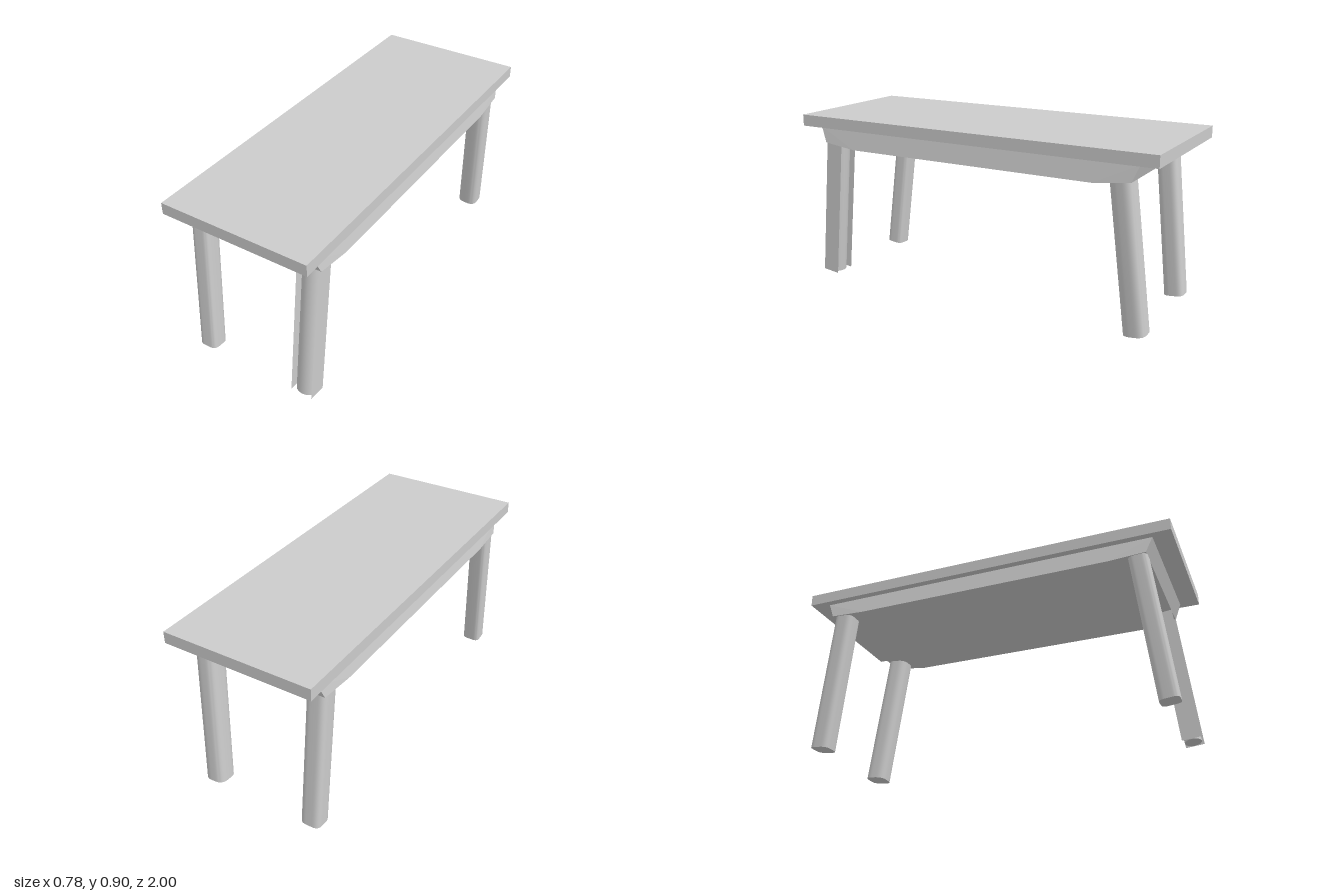
import * as THREE from 'three';
import { ConvexGeometry } from 'three/addons/geometries/ConvexGeometry.js';
import { toCreasedNormals } from 'three/addons/utils/BufferGeometryUtils.js';

const grey = new THREE.MeshStandardMaterial({ color: 0xcccccc });
const greyThin = new THREE.MeshStandardMaterial({ color: 0xcccccc, side: THREE.DoubleSide });

function add(parent, name, geometry, material = grey) {
  const mesh = new THREE.Mesh(geometry, material);
  mesh.name = name;
  parent.add(mesh);
  return mesh;
}

// Group whose local z runs up a splayed leg from its foot
function legFrame(parent, name, foot, head) {
  const leg = new THREE.Group();
  leg.name = name;
  leg.up.set(0, 0, 1);
  leg.position.set(...foot);
  leg.lookAt(...head);
  parent.add(leg);
  return { leg, length: new THREE.Vector3(...foot).distanceTo(new THREE.Vector3(...head)) };
}

// Rectangle with rounded corners, centred on the origin
function roundedRect(w, d, r) {
  const x = w / 2, y = d / 2, s = new THREE.Shape();
  s.moveTo(r - x, -y);
  s.lineTo(x - r, -y);
  s.quadraticCurveTo(x, -y, x, r - y);
  s.lineTo(x, y - r);
  s.quadraticCurveTo(x, y, x - r, y);
  s.lineTo(r - x, y);
  s.quadraticCurveTo(-x, y, -x, y - r);
  s.lineTo(-x, r - y);
  s.quadraticCurveTo(-x, -y, r - x, -y);
  return s;
}

function extrude(shape, depth) {
  const g = new THREE.ExtrudeGeometry(shape, { depth, bevelEnabled: false, curveSegments: 8 });
  return toCreasedNormals(g, 0.6);
}

export function createModel() {
  const table = new THREE.Group();
  table.name = 'table';

  // Flat slab top
  add(table, 'tableTop', new THREE.BoxGeometry(0.78, 0.06, 2)).position.y = 0.87;

  // Solid apron: flares outward in x, tapers at the ends, bottom bows down
  const points = [];
  for (const sx of [-1, 1]) {
    const low = sx > 0 ? 0.735 : 0.745;
    for (const sz of [-1, 1]) {
      points.push(
        new THREE.Vector3(sx * 0.355, 0.84, sz * 0.903),
        new THREE.Vector3(sx * 0.367, 0.757, sz * 0.868),
        new THREE.Vector3(sx * 0.372, low, sz * 0.68),
      );
    }
  }
  add(table, 'apron', new ConvexGeometry(points));

  // Three rounded square legs: name, foot, head, width, depth, corner radius
  const legs = [
    ['frontRightLeg', [-0.288, 0.01, 0.907], [-0.315, 0.775, 0.82], 0.1, 0.096, 0.03],
    ['backRightLeg', [-0.303, 0.01, -0.89], [-0.31, 0.775, -0.806], 0.105, 0.105, 0.035],
    ['backLeftLeg', [0.266, 0.01, -0.888], [0.306, 0.775, -0.806], 0.112, 0.115, 0.045],
  ];
  for (const [name, foot, head, w, d, r] of legs) {
    const { leg, length } = legFrame(table, name, foot, head);
    add(leg, name + 'Post', extrude(roundedRect(w, d, r), length));
  }

  // Fourth leg: an oval post between two thin side plates
  const { leg, length } = legFrame(table, 'frontLeftLeg', [0.2875, 0.01, 0.907], [0.298, 0.775, 0.82]);
  const oval = new THREE.Shape().absellipse(0, 0, 0.052, 0.043, 0, Math.PI * 2);
  add(leg, 'frontLeftLegPost', extrude(oval, length));
  for (const side of [-1, 1]) {
    const plate = add(leg, 'frontLeftLegPlate', new THREE.PlaneGeometry(length, 0.096), greyThin);
    plate.rotation.y = side * Math.PI / 2;
    plate.position.set(side * 0.057, 0, length / 2);
  }
  return table;
}
